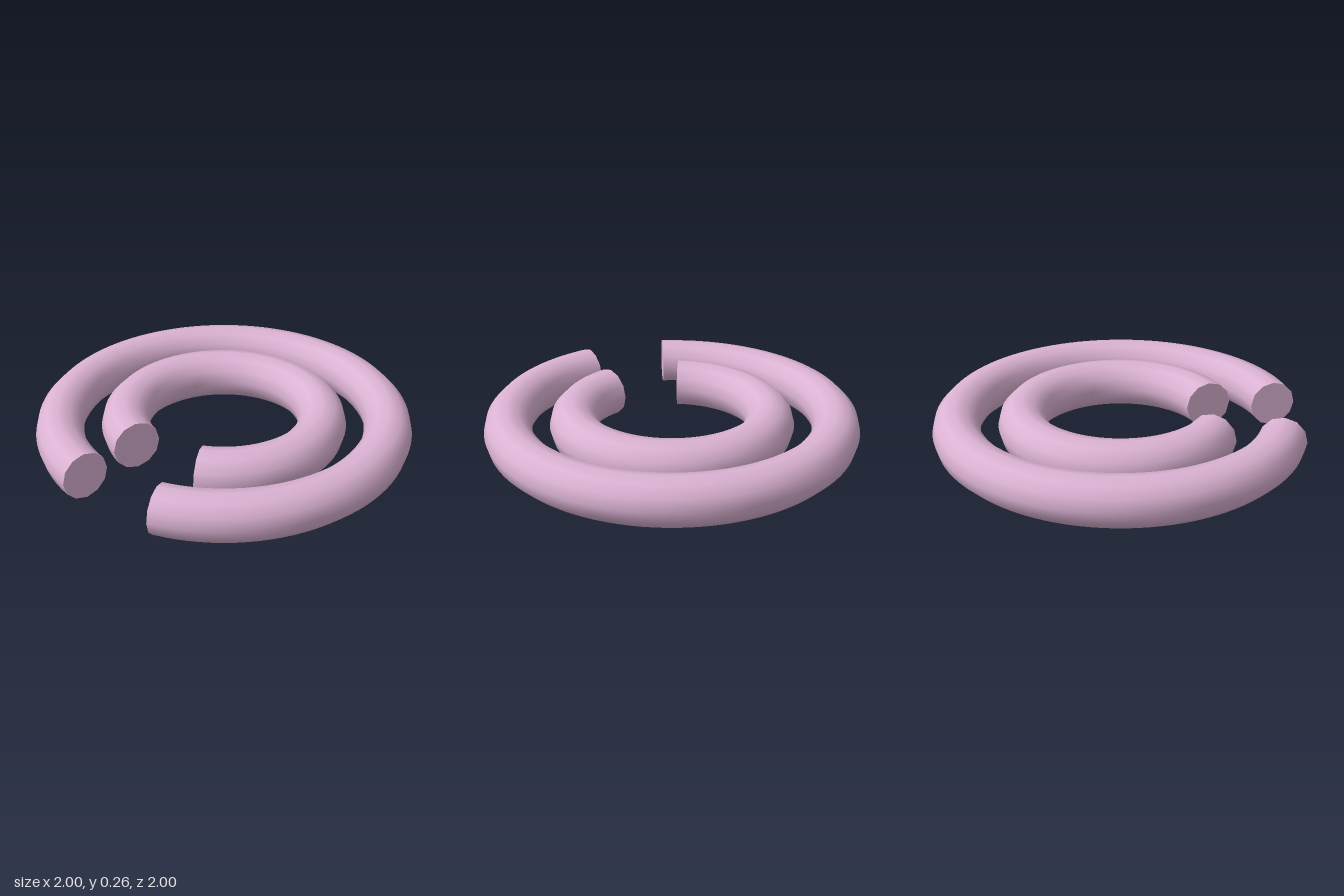
import * as THREE from 'three';

const SIDES = 12;
const CENTRE_Y = 0.13;
const material = new THREE.MeshStandardMaterial({ color: 0xdbb2d3 });

// Open ring lying flat; angles in degrees run from +x towards +z
function openRing(name, radius, tube, startDeg, endDeg) {
  const ring = new THREE.Group();
  ring.name = name;
  const start = THREE.MathUtils.degToRad(startDeg);
  const end = THREE.MathUtils.degToRad(endDeg);

  const add = (geometry, partName) => {
    const mesh = new THREE.Mesh(geometry, material);
    mesh.name = partName;
    ring.add(mesh);
  };

  // Curved body
  const body = new THREE.TorusGeometry(radius, tube, SIDES, 96, end - start);
  add(body.rotateX(Math.PI / 2).rotateY(-start), name + 'Body');

  // Flat caps closing both ends
  const cap = () => new THREE.CircleGeometry(tube, SIDES);
  add(cap().rotateY(Math.PI).translate(radius, 0, 0).rotateY(-start), name + 'StartCap');
  add(cap().translate(radius, 0, 0).rotateY(-end), name + 'EndCap');

  ring.position.y = CENTRE_Y;
  return ring;
}

export function createModel() {
  const model = new THREE.Group();
  model.name = 'openRings';
  model.add(openRing('outerRing', 0.874, 0.126, 165.3, 495));
  model.add(openRing('innerRing', 0.525, 0.13, 173, 487.4));
  return model;
}
